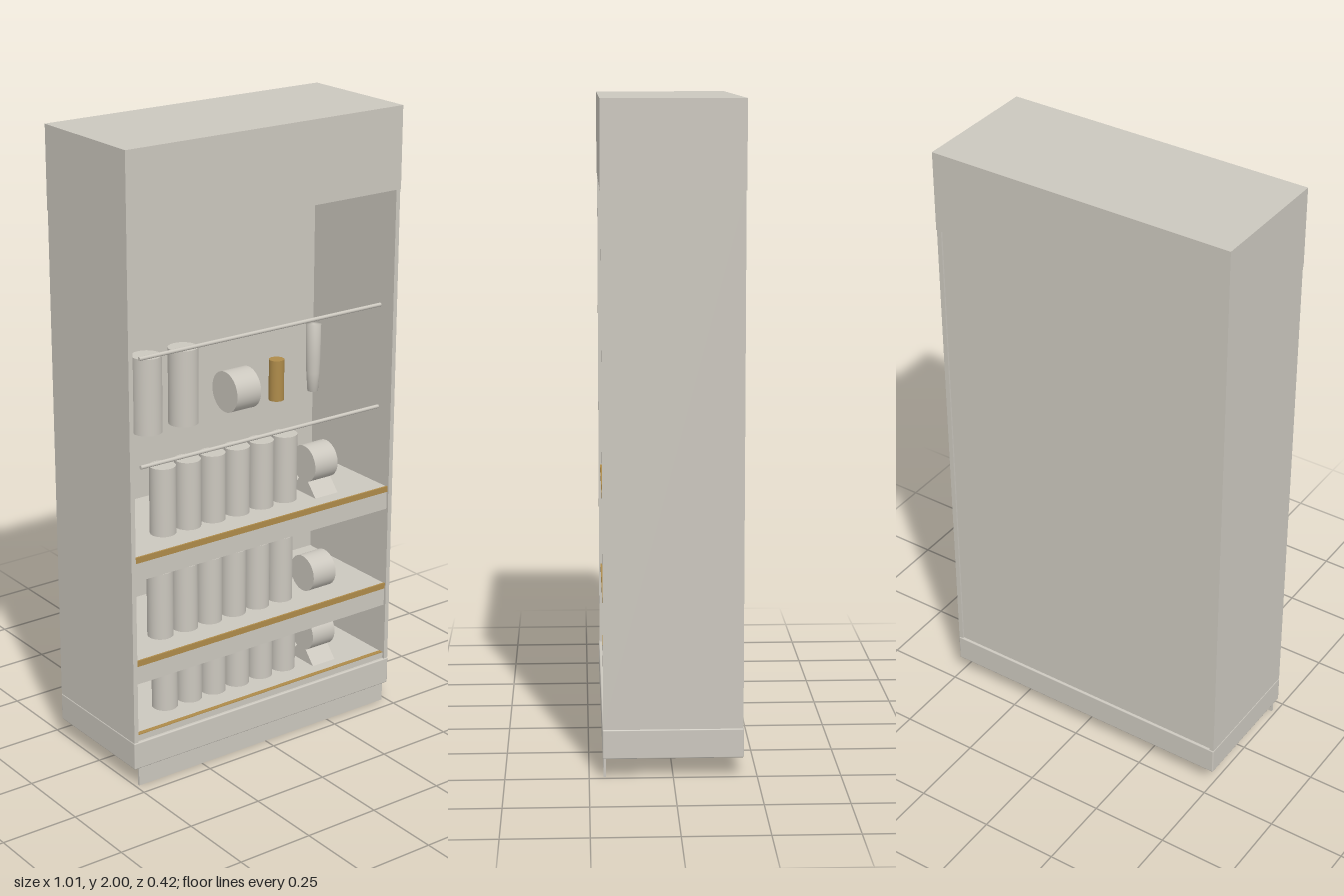
import * as THREE from 'three';
import { RoundedBoxGeometry } from 'three/addons/geometries/RoundedBoxGeometry.js';

export function createModel() {
  const model = new THREE.Group();
  const stone = new THREE.MeshStandardMaterial({ color: 0xcbc7be });
  stone.name = 'warm grey';
  const brass = new THREE.MeshStandardMaterial({ color: 0xae8b4a });
  brass.name = 'brass';

  function add(name, geometry, material = stone, parent = model) {
    const mesh = new THREE.Mesh(geometry, material);
    mesh.name = name;
    parent.add(mesh);
    return mesh;
  }

  // Box given by its limits on each axis
  function box(name, x0, x1, y0, y1, z0, z1, material, parent) {
    const mesh = add(name, new THREE.BoxGeometry(x1 - x0, y1 - y0, z1 - z0), material, parent);
    mesh.position.set((x0 + x1) / 2, (y0 + y1) / 2, (z0 + z1) / 2);
    return mesh;
  }

  // Upright cylinder standing at height y
  function can(name, x, y, radius, height, material, parent) {
    const mesh = add(name, new THREE.CylinderGeometry(radius, radius, height, 32), material, parent);
    mesh.position.set(x, y + height / 2, ITEM_Z);
    return mesh;
  }

  // Short cylinder lying along x
  function drum(name, x, y, radius, parent) {
    const mesh = add(name, new THREE.CylinderGeometry(radius, radius, 0.09, 40), stone, parent);
    mesh.rotation.z = Math.PI / 2;
    mesh.position.set(x, y + radius, ITEM_Z);
  }

  // Triangular cradle under a drum
  function cradle(x, y, parent) {
    const shape = new THREE.Shape([
      new THREE.Vector2(-0.062, 0), new THREE.Vector2(0.062, 0), new THREE.Vector2(0, 0.07)
    ]);
    const geometry = new THREE.ExtrudeGeometry(shape, { depth: 0.09, bevelEnabled: false });
    geometry.translate(0, 0, -0.045).rotateY(Math.PI / 2);
    add('drumCradle', geometry, stone, parent).position.set(x, y, ITEM_Z);
  }

  const ITEM_Z = 0.083;

  // Cabinet shell
  box('header', -0.505, 0.505, 1.74, 2, -0.21, 0.21);
  const base = add('base', new RoundedBoxGeometry(1.01, 0.09, 0.42, 2, 0.004));
  base.position.y = 0.105;
  box('plinth', -0.488, 0.485, 0, 0.06, 0.2, 0.207);
  for (const side of [-1, 1]) {
    const panel = box('sidePanel', -0.0075, 0.0075, 0.15, 1.74, -0.208, 0.208);
    panel.position.x = side * 0.4965;
  }
  box('backPanel', -0.489, 0.489, 0.15, 1.74, -0.202, -0.19);

  // Floor with brass inlay along the front edge
  box('floor', -0.489, 0.489, 0.15, 0.17, -0.19, 0.2);
  box('floorTrim', -0.489, 0.489, 0.17, 0.172, 0.185, 0.2, brass);

  // Shelves with a drop front and brass edge
  for (const y of [0.42, 0.76]) {
    const shelf = new THREE.Group();
    shelf.name = 'shelf';
    model.add(shelf);
    box('shelfBoard', -0.489, 0.489, y - 0.02, y, -0.19, 0.197, stone, shelf);
    box('shelfApron', -0.489, 0.489, y - 0.077, y, 0.187, 0.2, stone, shelf);
    box('shelfTrim', -0.489, 0.489, y - 0.017, y + 0.002, 0.197, 0.203, brass, shelf);
  }

  // Rows of canisters, each with a drum at the end
  for (const [y, startX, raised] of [[0.17, -0.304, true], [0.42, -0.318, false], [0.76, -0.304, true]]) {
    const row = new THREE.Group();
    row.name = 'canisterRow';
    model.add(row);
    for (let i = 0; i < 6; i++) can('canister', startX + i * 0.093, y, 0.041, 0.22, stone, row);
    drum('drum', 0.285, raised ? y + 0.04 : y, 0.06, row);
    if (raised) cradle(0.285, y, row);
  }

  // Front rails
  for (const y of [1.04, 1.376]) {
    const rail = add('rail', new THREE.CylinderGeometry(0.006, 0.006, 0.906, 16));
    rail.rotation.z = Math.PI / 2;
    rail.position.set(-0.002, y, 0.19);
  }

  // Display pieces between the rails
  can('tallCanister', -0.357, 1.1, 0.046, 0.24);
  can('tallCanister', -0.225, 1.1, 0.046, 0.24);
  drum('displayDrum', -0.025, 1.1, 0.065);
  can('brassCanister', 0.128, 1.1, 0.024, 0.132, brass);
  const profile = [[0, 0], [0.017, 0], [0.021, 0.06], [0.023, 0.11], [0.024, 0.22], [0, 0.22]];
  const taper = new THREE.LatheGeometry(profile.map(([r, h]) => new THREE.Vector2(r, h)), 24);
  add('taperedHandle', taper).position.set(0.272, 1.1, ITEM_Z);

  return model;
}
